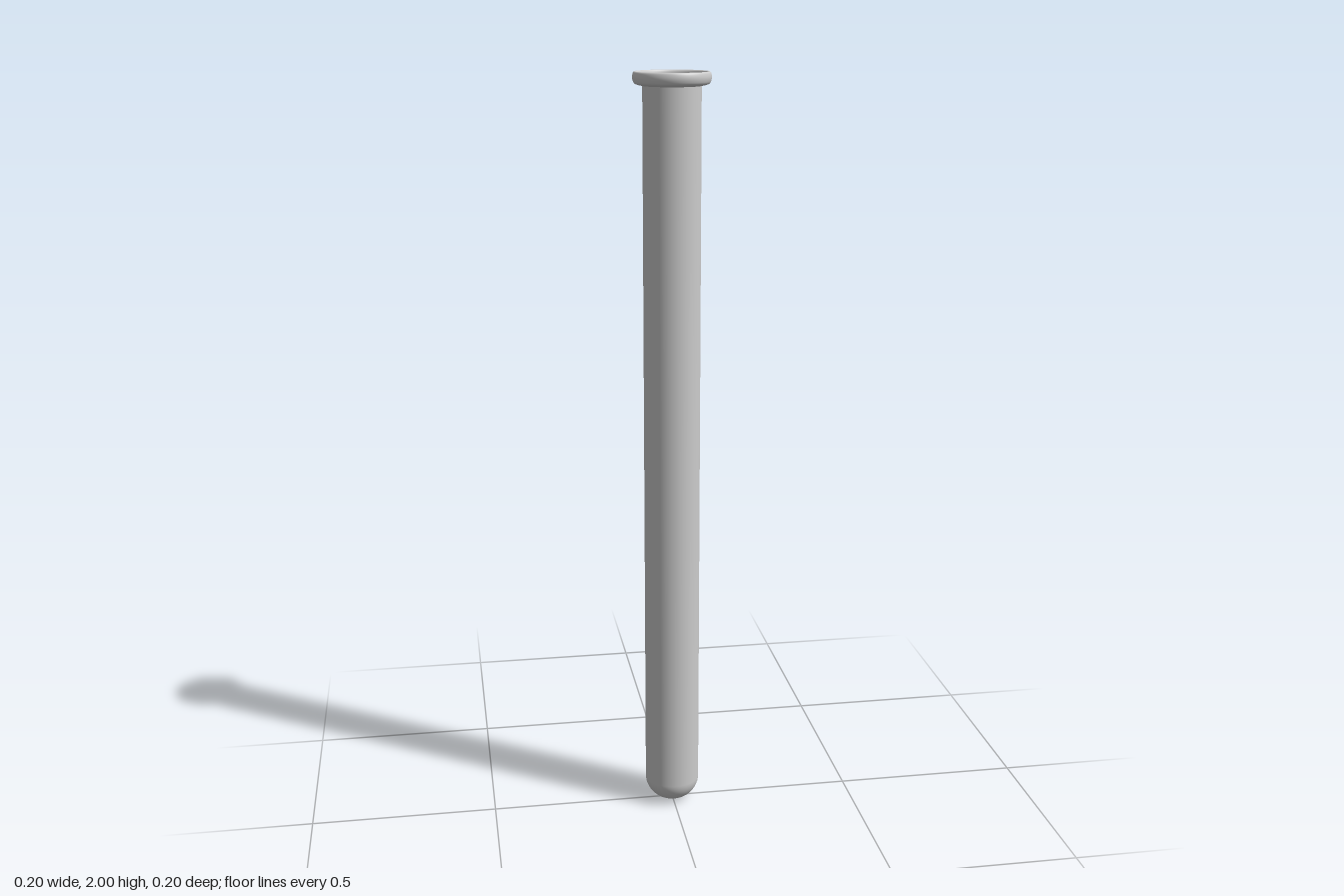
import * as THREE from 'three';

export function createModel() {
  const group = new THREE.Group();
  const material = new THREE.MeshStandardMaterial({ color: 0xcccccc, side: THREE.DoubleSide });
  const radius = 0.074, domeHeight = 0.066, neckY = 1.965, segments = 64;

  const addLathe = (name, points) => {
    const mesh = new THREE.Mesh(new THREE.LatheGeometry(points, segments), material);
    mesh.name = name;
    group.add(mesh);
  };

  // Thin straight wall closed by a rounded bottom
  const wall = [];
  for (let i = 0; i <= 14; i++) {
    const a = (i / 14) * Math.PI / 2;
    wall.push(new THREE.Vector2(radius * Math.sin(a), domeHeight * (1 - Math.cos(a))));
  }
  wall.push(new THREE.Vector2(radius, neckY));
  addLathe('tubeBody', wall);

  // Flared lip: out from the neck, over the rounded edge, back down into the mouth
  const lip = new THREE.SplineCurve([
    [radius, neckY], [0.084, 1.967], [0.094, 1.971], [0.098, 1.979], [0.099, 1.988],
    [0.097, 1.997], [0.093, 2], [0.089, 1.997], [0.087, 1.989], [0.083, 1.979],
    [0.077, 1.973], [radius, neckY],
  ].map(([r, y]) => new THREE.Vector2(r, y)));
  addLathe('rolledRim', lip.getPoints(44));

  return group;
}
